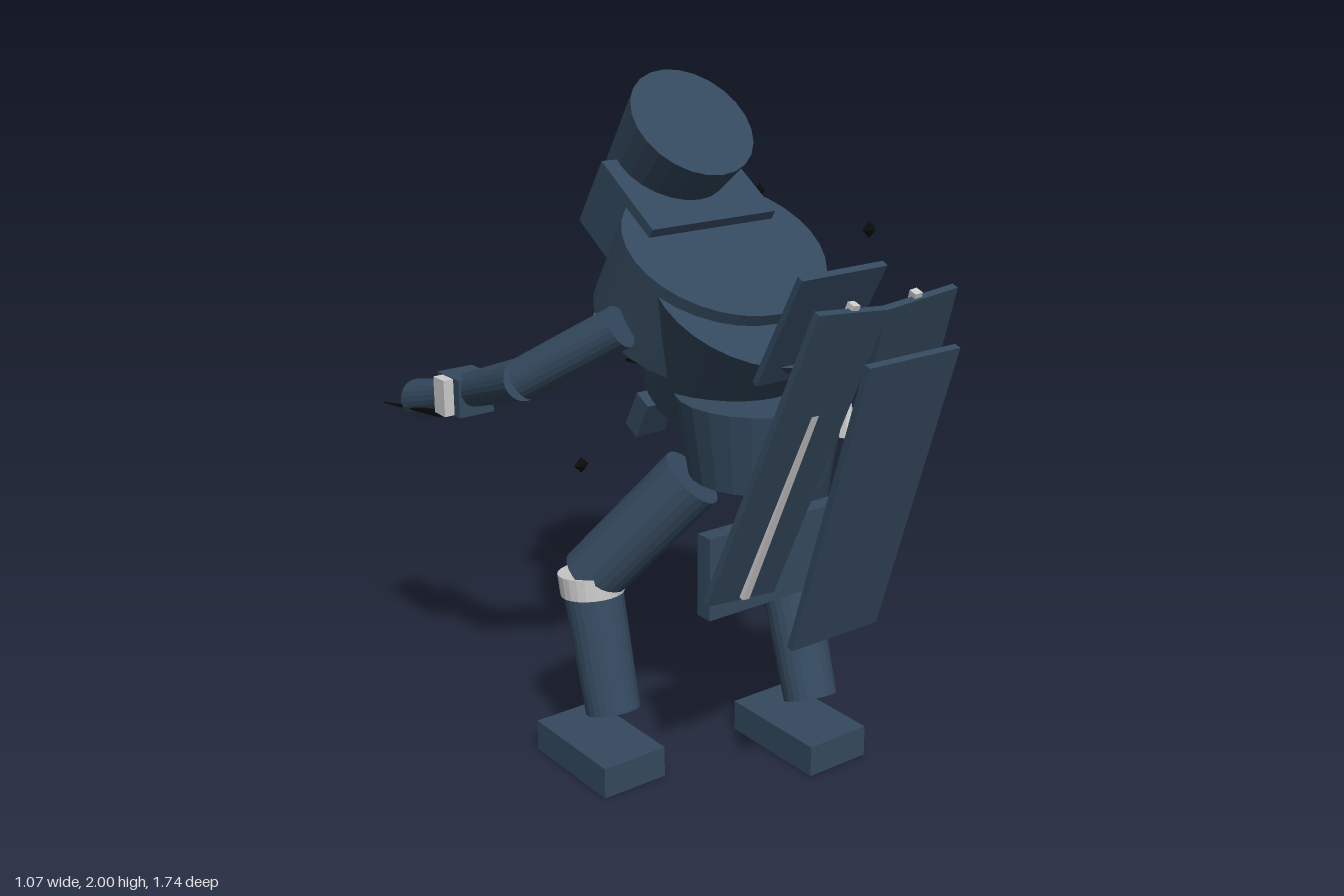
import * as THREE from 'three';

export function createModel() {
  const root = new THREE.Group();
  const mat = (color) => new THREE.MeshStandardMaterial({ color, flatShading: true });
  const slate = mat(0x34495e), pale = mat(0xcccccc), black = mat(0x0a0a0a);
  const CX = 0.058; // body centre line

  // Place a y-aligned geometry from a to b, its x axis kept level with the world's
  function span(name, geo, material, a, b, depth = 1) {
    const A = new THREE.Vector3(...a), B = new THREE.Vector3(...b);
    const y = B.clone().sub(A).normalize();
    const x = new THREE.Vector3(1, 0, 0).addScaledVector(y, -y.x).normalize();
    const z = x.clone().cross(y);
    const m = new THREE.Mesh(geo, material);
    m.name = name;
    m.quaternion.setFromRotationMatrix(new THREE.Matrix4().makeBasis(x, y, z));
    m.position.copy(A).add(B).multiplyScalar(0.5);
    m.scale.z = depth;
    root.add(m);
    return m;
  }
  const dist = (a, b) => Math.hypot(a[0] - b[0], a[1] - b[1], a[2] - b[2]);
  // Tapered cylinder: radius ra at a, rb at b
  const limb = (name, a, b, ra, rb, material = slate, depth = 1, sides = 24) =>
    span(name, new THREE.CylinderGeometry(rb, ra, dist(a, b), sides), material, a, b, depth);
  // Plank running from a to b
  const plank = (name, a, b, w, t, material = slate) =>
    span(name, new THREE.BoxGeometry(w, dist(a, b), t), material, a, b);
  const box = (name, size, pos, material = slate, tilt = 0) => {
    const m = new THREE.Mesh(new THREE.BoxGeometry(...size), material);
    m.name = name;
    m.position.set(...pos);
    m.rotation.x = tilt;
    root.add(m);
  };

  // Head, cowl and face
  limb('head', [CX, 1.661, -0.233], [CX, 1.87, -0.035], 0.15, 0.188);
  plank('cowl', [CX, 1.502, -0.168], [CX, 1.687, -0.05], 0.43, 0.285);
  plank('face', [CX, 1.605, -0.288], [CX, 1.69, -0.2], 0.24, 0.17);
  for (const s of [-1, 1]) {
    const eye = new THREE.Mesh(new THREE.SphereGeometry(0.012, 8, 6), black);
    eye.name = 'eye';
    eye.position.set(CX + s * 0.06, 1.69, -0.325);
    root.add(eye);
  }

  // Hunched trunk
  limb('shoulders', [CX, 1.313, -0.026], [CX, 1.5475, 0.1175], 0.31, 0.31, slate, 0.9, 32);
  limb('torso', [CX, 1.097, 0.02], [CX, 1.437, 0.228], 0.18, 0.29, slate, 1, 32);
  limb('pelvis', [CX, 0.93, 0.277], [CX, 1.165, 0.277], 0.2, 0.24);
  for (const s of [-1, 1]) {
    box('chestBlock', [0.09, 0.09, 0.1], [CX + s * 0.19, 1.325, -0.13], pale, 0.6);
    box('beltPouch', [0.1, 0.12, 0.06], [CX + s * 0.16, 1.06, -0.02], slate, 0.5);
  }

  // Arms
  const armData = [
    { sh: [0.4, 1.37, 0.09], el: [0.475, 1.2, -0.15], wr: [0.4, 1.065, -0.43], hand: [0.395, 1.05, -0.455] },
    { sh: [-0.28, 1.365, 0.09], el: [-0.44, 1.185, -0.16], wr: [-0.44, 1.08, -0.46], hand: [-0.443, 1.07, -0.48] },
  ];
  for (const { sh, el, wr, hand } of armData) {
    limb('upperArm', sh, el, 0.062, 0.062);
    limb('forearm', el, wr, 0.062, 0.052);
    box('hand', [0.115, 0.115, 0.12], hand);
  }
  box('wristPlate', [0.035, 0.11, 0.06], [-0.515, 1.07, -0.48], pale);
  box('wristPlate', [0.02, 0.06, 0.045], [0.335, 1.05, -0.45], pale);
  limb('blade', [0.37, 1.0, -0.49], [0.37, 0.945, -0.815], 0.028, 0.006, black, 1, 6);
  limb('barrel', [-0.465, 1.05, -0.52], [-0.47, 0.99, -0.725], 0.052, 0.062);
  limb('barrelSpike', [-0.52, 1.01, -0.5], [-0.517, 0.95, -0.87], 0.012, 0.002, black, 1, 6);

  // Legs: hip, knee, ankle
  const legs = [
    { hip: [0.2, 0.93, 0.28], knee: [0.278, 0.53, 0.15], ankle: [0.25, 0.175, 0.3], foot: [0.25, 0.0475, 0.25] },
    { hip: [-0.09, 0.91, 0.16], knee: [-0.295, 0.585, -0.055], ankle: [-0.302, 0.205, 0.06], foot: [-0.303, 0.0475, -0.01] },
  ];
  for (const { hip, knee, ankle, foot } of legs) {
    limb('thigh', hip, knee, 0.097, 0.093);
    limb('shin', knee, ankle, 0.088, 0.08);
    const [kx, ky, kz] = knee;
    limb('kneeBand', [kx, ky - 0.045, kz + 0.008], [kx, ky + 0.02, kz], 0.094, 0.098, pale);
    box('foot', [0.212, 0.095, 0.36], foot);
  }

  // Cape slats, stakes and rear skirt
  plank('centreSlat', [CX, 0.55, 0.6], [CX, 1.403, 0.863], 0.307, 0.02);
  plank('capeCollar', [CX, 1.25, 0.427], [CX, 1.567, 0.6], 0.29, 0.02);
  for (const s of [-1, 1]) {
    plank('sideSlat', [CX + s * 0.21, 0.665, 0.452], [CX + s * 0.115, 1.515, 0.762], 0.24, 0.02);
    plank('stake', [CX + s * 0.207, 0.67, 0.467], [CX + s * 0.105, 1.53, 0.757], 0.024, 0.024, pale);
  }
  box('rearSkirt', [0.54, 0.24, 0.055], [CX, 0.71, 0.373]);

  // Hanging dagger and belt charm
  box('daggerGrip', [0.07, 0.29, 0.055], [0.298, 0.805, 0.445], pale);
  limb('daggerBlade', [0.3, 0.66, 0.445], [0.3, 0.5, 0.445], 0.018, 0.006, black, 1, 6);
  limb('beltCharm', [0.265, 1.03, 0.405], [0.265, 1.165, 0.405], 0.032, 0.004, pale, 1, 8);

  // Drifting shards: x, y, z, radius
  const shards = [
    [0.217, 1.64, 0.52, 0.022], [0.42, 1.615, -0.18, 0.022], [0.395, 1.26, 0.22, 0.027],
    [0.31, 1.205, -0.365, 0.027], [0.245, 1.56, -0.305, 0.035], [-0.196, 0.853, -0.245, 0.025],
    [0.28, 0.832, 0.495, 0.028],
  ];
  for (const [x, y, z, r] of shards) {
    const shard = new THREE.Mesh(new THREE.OctahedronGeometry(r), black);
    shard.name = 'shard';
    shard.position.set(x, y, z);
    root.add(shard);
  }
  return root;
}
